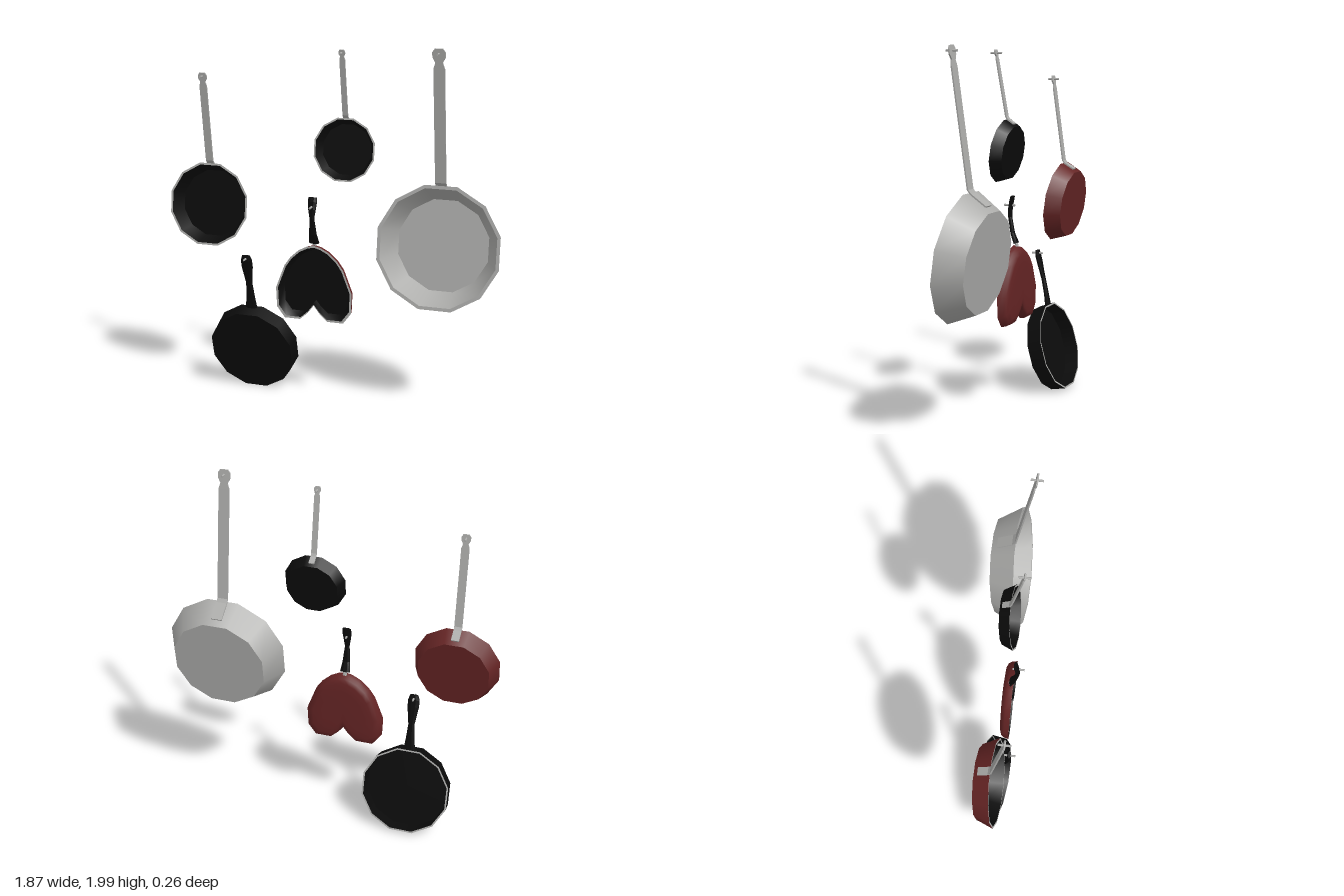
import * as THREE from 'three';

const paint = (name, color) => Object.assign(new THREE.MeshStandardMaterial({ color }), { name });

// Skin a list of equal-length point loops; faceted or smooth
function skin(rings, faceted) {
  const n = rings[0].length, index = [];
  for (let r = 0; r < rings.length - 1; r++) {
    for (let i = 0; i < n; i++) {
      const a = r * n + i, b = r * n + (i + 1) % n;
      index.push(a, a + n, b + n, a, b + n, b);
    }
  }
  let g = new THREE.BufferGeometry();
  g.setAttribute('position', new THREE.Float32BufferAttribute(rings.flat(2), 3));
  g.setIndex(index);
  if (faceted) g = g.toNonIndexed();
  g.computeVertexNormals();
  return g;
}

// Bar along a path of [y, z, halfWidth, halfThickness] stations, capped at both ends
function bar(x, path, sides) {
  const k = sides === 4 ? Math.SQRT2 : 1;
  const rings = path.map(([y, z, w, t], j) => {
    const p = path[Math.max(j - 1, 0)], q = path[Math.min(j + 1, path.length - 1)];
    const ty = q[0] - p[0], tz = q[1] - p[1], len = Math.hypot(ty, tz);
    return Array.from({ length: sides }, (_, i) => {
      const a = (i + 0.5) / sides * Math.PI * 2;
      const s = Math.sin(a) * k * t;
      return [x + Math.cos(a) * k * w, y - tz / len * s, z + ty / len * s];
    });
  });
  const cap = ([y, z]) => Array.from({ length: sides }, () => [x, y, z]);
  return skin([cap(path[0]), ...rings, cap(path[path.length - 1])], true);
}

export function createModel() {
  const model = new THREE.Group();
  model.name = 'hangingPans';
  const black = paint('black iron', 0x0b0b0b);
  const red = paint('dark red enamel', 0x642424);
  const steel = paint('steel', 0xacacaa);

  const add = (parent, name, geometry, material) => {
    const mesh = new THREE.Mesh(geometry, material);
    mesh.name = name;
    parent.add(mesh);
    return mesh;
  };

  // Twelve-sided bowl opening along local +z, rim at the origin
  function bowl(name, { x, y, z, tilt, rim, base, depth, lip, outside, inside }) {
    const g = new THREE.Group();
    g.name = name;
    const k = 1 / Math.cos(Math.PI / 12), wall = lip * 0.7;
    const sections = [
      ['base', 0, -depth, base, -depth, outside],
      ['outerWall', base, -depth, rim, 0, outside],
      ['rim', rim, 0, rim - lip, 0, steel],
      ['innerWall', rim - lip, 0, base - wall, -depth + wall, inside],
      ['floor', base - wall, -depth + wall, 0, -depth + wall, inside],
    ];
    for (const [part, r0, h0, r1, h1, material] of sections) {
      const profile = [new THREE.Vector2(r0 * k, h0), new THREE.Vector2(r1 * k, h1)];
      const geo = new THREE.LatheGeometry(profile, 12, Math.PI / 12);
      add(g, part, geo.rotateX(Math.PI / 2), material);
    }
    g.position.set(x, y, z);
    g.rotation.x = tilt;
    model.add(g);
  }

  // Flat steel strip handle, bent over the wall and ending in a hanging eye
  function stripHandle(name, { x, y, z, tilt, rim, base, depth }, tipY, w) {
    const c = Math.cos(tilt), s = -Math.sin(tilt);
    const onWall = f => {
      const r = rim + (base - rim) * f + 0.005, d = depth * f;
      return [y + r * c - d * s, z - r * s - d * c, w, 0.004];
    };
    const top = onWall(0), tipZ = 0.103, e = w * 3;
    const zAt = yy => top[1] + (tipZ - top[1]) * (yy - top[0]) / (tipY - top[0]);
    const at = (dy, f) => [tipY - dy, zAt(tipY - dy), w * f, 0.004];
    add(model, name, bar(x, [
      onWall(0.75), onWall(0.1), [top[0] + 0.012, top[1] + 0.004, w, 0.004],
      at(e * 1.15, 1), at(e * 0.8, 0.65), at(e * 0.5, 1.15), at(e * 0.2, 1.15), at(0, 0.7),
    ], 4), steel);
  }

  // Round pans
  const large = { x: 0.6, y: 0.94, z: 0.045, tilt: -0.136, rim: 0.333, base: 0.26,
    depth: 0.14, lip: 0.018, outside: steel, inside: steel };
  const medium = { x: -0.705, y: 1.082, z: 0.06, tilt: -0.136, rim: 0.228, base: 0.19,
    depth: 0.09, lip: 0.011, outside: red, inside: black };
  const small = { x: 0.085, y: 1.44, z: 0.06, tilt: -0.148, rim: 0.168, base: 0.14,
    depth: 0.06, lip: 0.009, outside: black, inside: black };
  bowl('largePan', large);
  bowl('mediumPan', medium);
  bowl('smallPan', small);
  stripHandle('largePanHandle', large, 2.0, 0.03);
  stripHandle('mediumPanHandle', medium, 1.82, 0.021);
  stripHandle('smallPanHandle', small, 1.975, 0.015);

  // Skillet hung with its opening towards the wall
  bowl('skillet', { x: -0.47, y: 0.265, z: -0.043, tilt: Math.PI + 0.26, rim: 0.245, base: 0.238,
    depth: 0.088, lip: 0.009, outside: black, inside: black });
  add(model, 'skilletHandle', bar(-0.47, [
    [0.485, 0.03, 0.037, 0.012], [0.56, 0.042, 0.026, 0.012], [0.65, 0.06, 0.018, 0.012],
    [0.75, 0.085, 0.034, 0.012], [0.79, 0.095, 0.034, 0.012], [0.818, 0.1, 0.024, 0.008],
  ], 8), black);

  // Heart-shaped pan: right half outline mirrored, counter-clockwise
  const heartX = -0.084, heartY = 0.69;
  const half = [[0, 0.56], [0.035, 0.515], [0.08, 0.475], [0.17, 0.475], [0.215, 0.535], [0.22, 0.645],
    [0.17, 0.775], [0.135, 0.825], [0.085, 0.87], [0.04, 0.893], [0, 0.903]];
  const outline = [...half, ...half.slice(1, -1).reverse().map(([x, y]) => [-x, y])];
  const ring = ([s, z]) => outline.map(([x, y]) => [heartX + x * s, heartY + (y - heartY) * s, z]);
  const heart = new THREE.Group();
  heart.name = 'heartPan';
  model.add(heart);
  add(heart, 'heartFloor', skin([[0, 0.03], [0.84, 0.03]].map(ring)), black);
  add(heart, 'heartInnerWall', skin([[0.84, 0.03], [0.945, 0.075]].map(ring)), black);
  add(heart, 'heartRim', skin([[0.945, 0.075], [1, 0.075]].map(ring)), steel);
  add(heart, 'heartShell', skin(
    [[1, 0.075], [0.98, 0.047], [0.92, 0.03], [0.8, 0.021], [0.55, 0.018], [0, 0.018]].map(ring)), red);
  add(heart, 'heartNeck', bar(heartX, [[0.885, 0.052, 0.012, 0.008], [0.925, 0.062, 0.012, 0.008]], 8), steel);
  add(heart, 'heartHandle', bar(heartX, [
    [0.915, 0.06, 0.03, 0.01], [0.97, 0.082, 0.022, 0.011], [1.06, 0.097, 0.013, 0.011],
    [1.11, 0.095, 0.022, 0.011], [1.15, 0.088, 0.027, 0.01], [1.175, 0.082, 0.025, 0.008],
  ], 8), black);

  // Hanging pegs
  for (const [x, y] of [[0.6, 1.973], [0.085, 1.957], [-0.705, 1.8], [heartX, 1.125], [-0.47, 0.8]]) {
    add(model, 'peg', new THREE.CylinderGeometry(0.006, 0.006, 0.065, 8).rotateX(Math.PI / 2), steel)
      .position.set(x, y, 0.1);
  }
  return model;
}
